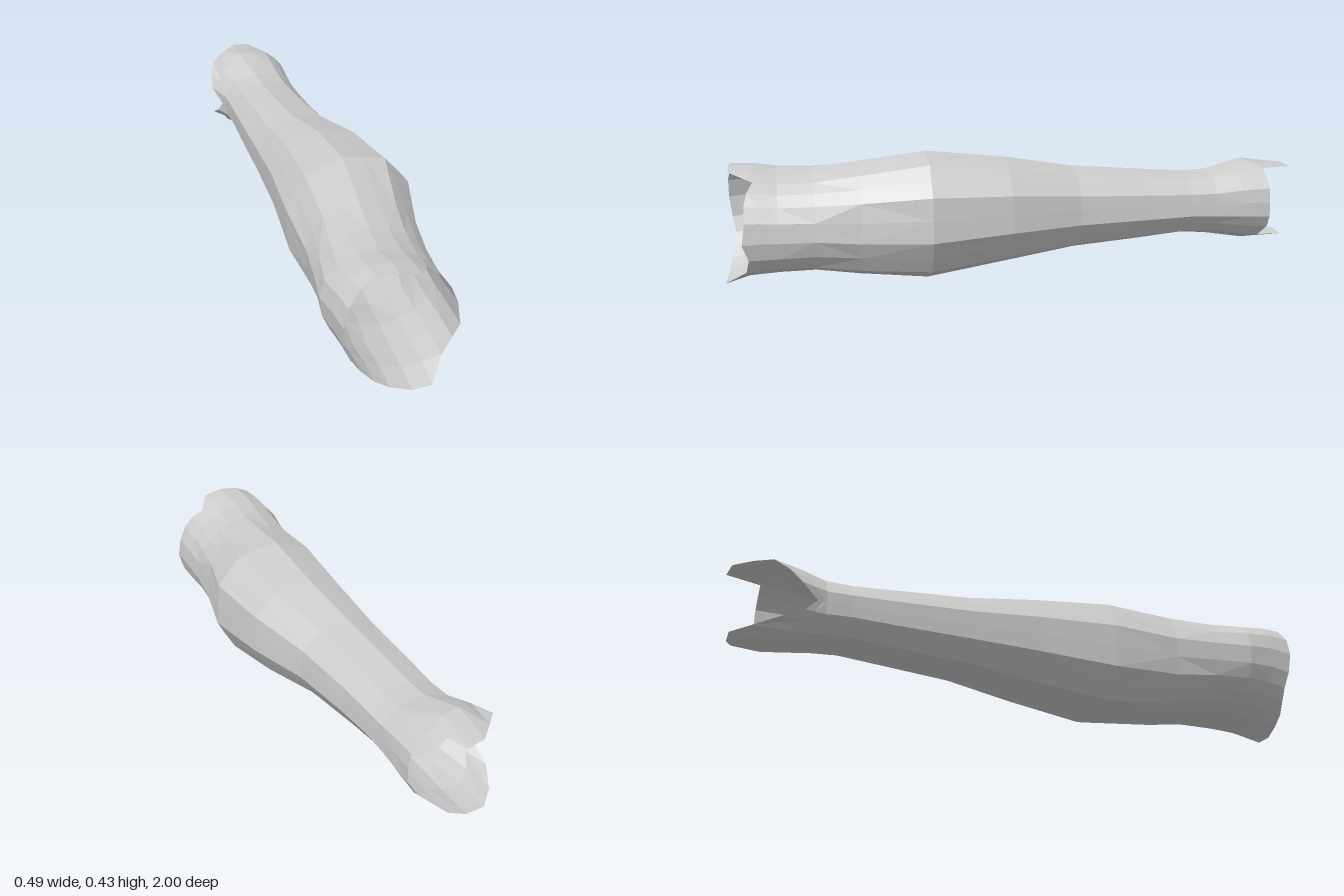
import * as THREE from 'three';

const SIDES = 20;

// Cross-sections from back to front: z, left x, right x, bottom, top, skew, facet
// (facet 1 pulls every second point onto the chord, giving ten broad sides)
const SECTIONS = [
  [-1.00, -0.17, 0.175, 0.095, 0.350, 0, 0.5],
  [-0.85, -0.19, 0.165, 0.080, 0.372, 0, 0.5],
  [-0.70, -0.135, 0.152, 0.108, 0.338, 0, 1],
  [-0.60, -0.135, 0.150, 0.115, 0.334, 0, 1],
  [-0.45, -0.142, 0.152, 0.100, 0.345, 0, 1],
  [-0.20, -0.152, 0.168, 0.080, 0.365, 0, 1],
  [0.05, -0.168, 0.224, 0.045, 0.408, 0, 1],
  [0.32, -0.198, 0.246, 0.000, 0.435, 0, 1],
  [0.55, -0.203, 0.182, 0.015, 0.400, 0.04, 0.8],
  [0.70, -0.222, 0.158, 0.040, 0.380, 0.08, 0.3],
  [0.82, -0.243, 0.148, 0.040, 0.377, 0.10, 0],
  [0.92, -0.236, 0.142, 0.033, 0.392, 0.10, 0],
  [1.00, -0.230, 0.138, 0.008, 0.392, 0.10, 0],
];

// Ragged rim depth at each point around the tube, counter-clockwise from +x
const BACK_RIM = [-0.88, -0.88, -0.88, -0.88, -1, -0.99, -0.93, -0.87, -0.82, -0.78,
  -0.72, -0.76, -0.84, -0.92, -0.98, -0.98, -0.96, -0.86, -0.88, -0.88];
const FRONT_RIM = [0.93, 0.93, 0.92, 0.9, 0.98, 0.98, 0.97, 0.98, 0.99, 0.99,
  0.98, 0.97, 0.975, 0.985, 0.99, 1, 1, 0.93, 0.92, 0.94];

function sectionAt(z) {
  let i = 0;
  while (i < SECTIONS.length - 2 && z > SECTIONS[i + 1][0]) i++;
  const a = SECTIONS[i], b = SECTIONS[i + 1];
  const t = (z - a[0]) / (b[0] - a[0]);
  return a.map((v, n) => THREE.MathUtils.lerp(v, b[n], t));
}

// Point on a slightly squared, skewed oval
function ovalPoint([, left, right, bottom, top, skew], k) {
  const a = THREE.MathUtils.degToRad(5 + (k * 360) / SIDES);
  const soft = (v) => Math.sign(v) * Math.abs(v) ** 0.9;
  const r = 1 - skew * Math.sin(2 * a);
  return new THREE.Vector2(
    (left + right) / 2 + (r * soft(Math.cos(a)) * (right - left)) / 2,
    (bottom + top) / 2 + (r * soft(Math.sin(a)) * (top - bottom)) / 2,
  );
}

function surfacePoint(z, k) {
  const s = sectionAt(z);
  const p = ovalPoint(s, k);
  if (k % 2 === 0) {
    const chord = ovalPoint(s, k - 1).add(ovalPoint(s, k + 1)).multiplyScalar(0.5);
    p.lerp(chord, s[6] * 0.9);
  }
  return p;
}

export function createModel() {
  const group = new THREE.Group();
  group.name = 'raggedSleeve';

  // Ring depths: straight rings in the middle, stretched towards the torn rims
  const mid = [-0.6, -0.45, -0.2, 0.05, 0.32, 0.55, 0.7, 0.82];
  const rings = [
    (k) => BACK_RIM[k],
    (k) => THREE.MathUtils.lerp(-0.69, BACK_RIM[k], 0.5),
    () => -0.69,
    ...mid.map((z) => () => z),
    (k) => THREE.MathUtils.lerp(0.82, FRONT_RIM[k], 0.55),
    (k) => FRONT_RIM[k],
  ];

  const positions = [];
  for (const depth of rings) {
    for (let k = 0; k < SIDES; k++) {
      const z = depth(k);
      const p = surfacePoint(z, k);
      positions.push(p.x, Math.max(0, p.y), z);
    }
  }

  const index = [];
  for (let r = 0; r < rings.length - 1; r++) {
    for (let k = 0; k < SIDES; k++) {
      const a = r * SIDES + k, b = r * SIDES + ((k + 1) % SIDES);
      const c = b + SIDES, d = a + SIDES;
      // Alternate the diagonals for an irregular faceted look
      if ((r + (k >> 1)) % 2) index.push(a, b, c, a, c, d);
      else index.push(a, b, d, b, c, d);
    }
  }

  const geometry = new THREE.BufferGeometry();
  geometry.setAttribute('position', new THREE.Float32BufferAttribute(positions, 3));
  geometry.setIndex(index);
  geometry.computeVertexNormals();

  const sleeve = new THREE.Mesh(geometry, new THREE.MeshStandardMaterial({
    color: 0xcccccc, flatShading: true, side: THREE.DoubleSide,
  }));
  sleeve.name = 'sleeve';
  group.add(sleeve);
  return group;
}
